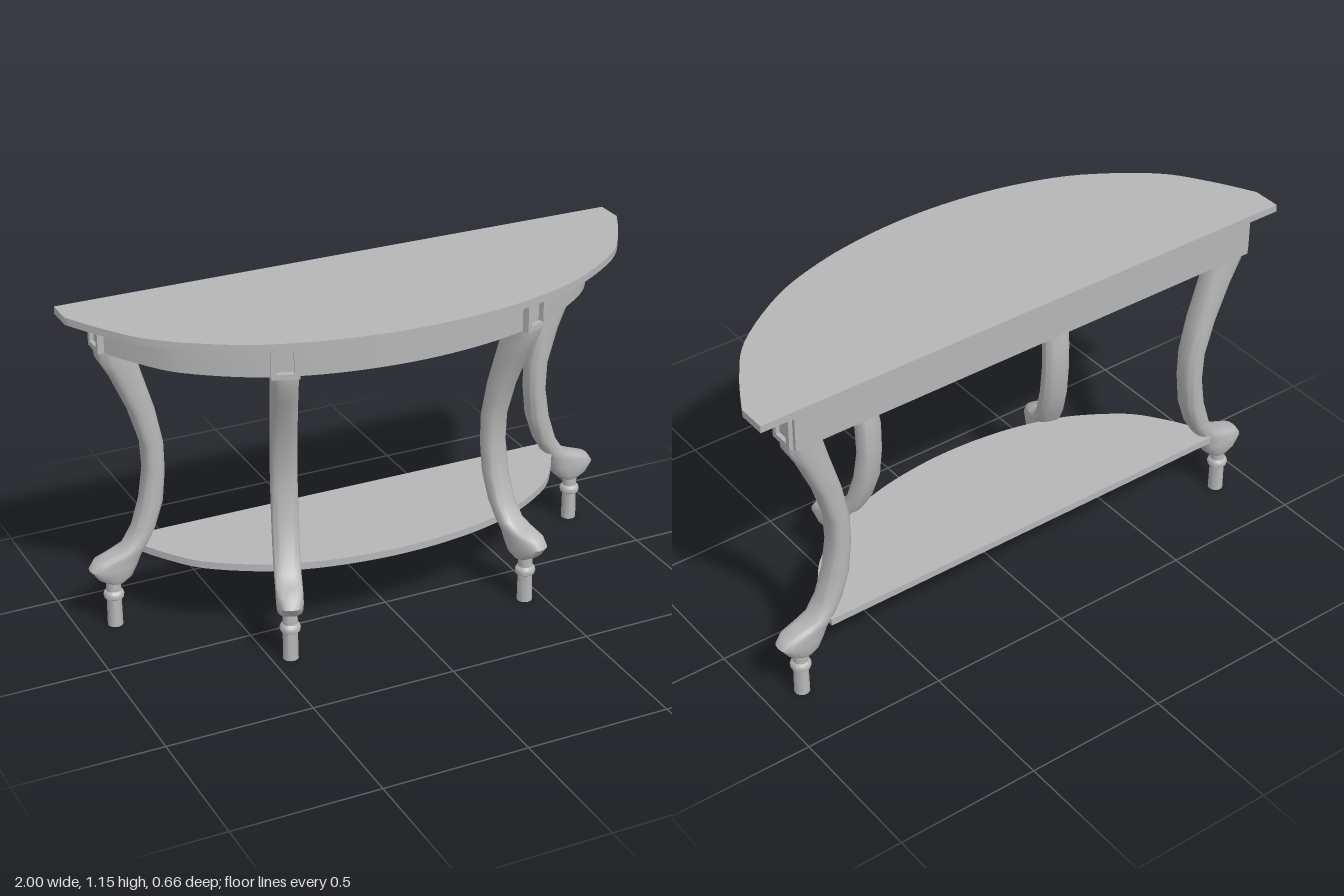
import * as THREE from 'three';
import { toCreasedNormals } from 'three/addons/utils/BufferGeometryUtils.js';

const grey = new THREE.MeshStandardMaterial({ color: 0xb6b6b6 });
grey.name = 'grey';

function add(parent, geometry, name, x = 0, y = 0, z = 0) {
  const mesh = new THREE.Mesh(geometry, grey);
  mesh.name = name;
  mesh.position.set(x, y, z);
  parent.add(mesh);
  return mesh;
}

// Half-moon slab: straight back, short straight ends, bowed front
function halfMoon(halfWidth, back, front, thickness) {
  const half = [[1, 0.15], [0.92, 0.366], [0.81, 0.585], [0.6, 0.805], [0.4, 0.92], [0.2, 0.98]];
  const row = [...half, [0, 1], ...half.map(([x, d]) => [-x, d]).reverse()];
  const pts = row.map(([x, d]) => new THREE.Vector2(x * halfWidth, -(back + d * (front - back))));
  const shape = new THREE.Shape();
  shape.moveTo(-halfWidth, -back);
  shape.lineTo(halfWidth, -back);
  shape.lineTo(pts[0].x, pts[0].y);
  new THREE.SplineCurve(pts).getPoints(60).forEach((p) => shape.lineTo(p.x, p.y));
  shape.closePath();
  const g = new THREE.ExtrudeGeometry(shape, { depth: thickness, bevelEnabled: false });
  g.rotateX(-Math.PI / 2);
  return toCreasedNormals(g, 0.5);
}

// Leg cross-sections: height, inner edge, outer edge, half width
const SECTIONS = [
  [0.165, -0.035, 0.02, 0.034], [0.185, -0.065, 0.055, 0.043], [0.22, -0.085, 0.08, 0.045],
  [0.248, -0.097, 0.062, 0.045], [0.265, -0.105, 0.01, 0.045], [0.285, -0.115, -0.04, 0.045],
  [0.345, -0.15, -0.078, 0.045], [0.44, -0.182, -0.108, 0.045], [0.55, -0.193, -0.125, 0.045],
  [0.65, -0.192, -0.12, 0.045], [0.775, -0.168, -0.082, 0.045], [0.905, -0.13, -0.025, 0.045],
  [0.98, -0.11, 0.018, 0.045], [1.015, -0.1, 0.022, 0.045],
];

function cabrioleGeometry() {
  const N = 20, pos = [], idx = [];
  const soft = (v) => Math.sign(v) * Math.abs(v) ** 0.72;
  for (const [y, inner, outer, w] of SECTIONS) {
    for (let i = 0; i < N; i++) {
      const a = (i / N) * Math.PI * 2;
      pos.push((inner + outer) / 2 + soft(Math.cos(a)) * (outer - inner) / 2, y, soft(Math.sin(a)) * w);
    }
  }
  for (let r = 0; r < SECTIONS.length - 1; r++) {
    for (let i = 0; i < N; i++) {
      const a = r * N + i, b = r * N + (i + 1) % N;
      idx.push(a, a + N, b, b, a + N, b + N);
    }
  }
  // End caps
  const last = (SECTIONS.length - 1) * N;
  for (let i = 1; i < N - 1; i++) {
    idx.push(0, i, i + 1, last, last + i + 1, last + i);
  }
  const g = new THREE.BufferGeometry();
  g.setAttribute('position', new THREE.Float32BufferAttribute(pos, 3));
  g.setIndex(idx);
  return toCreasedNormals(g, 0.9);
}

// Turned peg under the scroll foot
function pegGeometry() {
  const profile = [[0, 0], [0.026, 0], [0.025, 0.1], [0.033, 0.106], [0.035, 0.117],
    [0.032, 0.126], [0.025, 0.132], [0.025, 0.19]];
  const g = new THREE.LatheGeometry(profile.map(([r, y]) => new THREE.Vector2(r, y)), 20);
  return toCreasedNormals(g, 0.6);
}

// Raised frame around the recessed panel on a post, facing outward (+x)
function postFrameGeometry(w, h, border, depth) {
  const rect = (path, x, y) => path.moveTo(-x, -y).lineTo(x, -y).lineTo(x, y).lineTo(-x, y).closePath();
  const shape = rect(new THREE.Shape(), w / 2, h / 2);
  shape.holes.push(rect(new THREE.Path(), w / 2 - border, h / 2 - border));
  const g = new THREE.ExtrudeGeometry(shape, { depth, bevelEnabled: false });
  g.rotateY(Math.PI / 2);
  return g;
}

export function createModel() {
  const table = new THREE.Group();
  table.name = 'halfMoonTable';

  add(table, halfMoon(1, -0.33, 0.328, 0.025), 'tableTop', 0, 1.13, 0);
  add(table, halfMoon(0.885, -0.33, 0.26, 0.12), 'apron', 0, 1.01, 0);
  add(table, halfMoon(0.785, -0.325, 0.15, 0.025), 'lowerShelf', 0, 0.265, 0);

  const leg = cabrioleGeometry(), peg = pegGeometry();
  const frame = postFrameGeometry(0.09, 0.12, 0.018, 0.022);
  const panel = new THREE.BoxGeometry(0.05, 0.12, 0.088);
  const spots = [['back', 0.875, -0.272, 0], ['front', 0.437, 0.187, -1.23]];
  for (const [label, x, z, turn] of spots) {
    for (const side of [1, -1]) {
      const group = new THREE.Group();
      group.name = label + (side > 0 ? 'Left' : 'Right') + 'Leg';
      group.position.set(side * x, 0, z);
      group.rotation.y = side > 0 ? turn : Math.PI - turn;
      add(group, leg, 'curvedLeg');
      add(group, peg, 'footPeg');
      add(group, panel, 'postPanel', -0.021, 1.07, 0);
      add(group, frame, 'postFrame', 0.002, 1.07, 0);
      table.add(group);
    }
  }
  return table;
}
